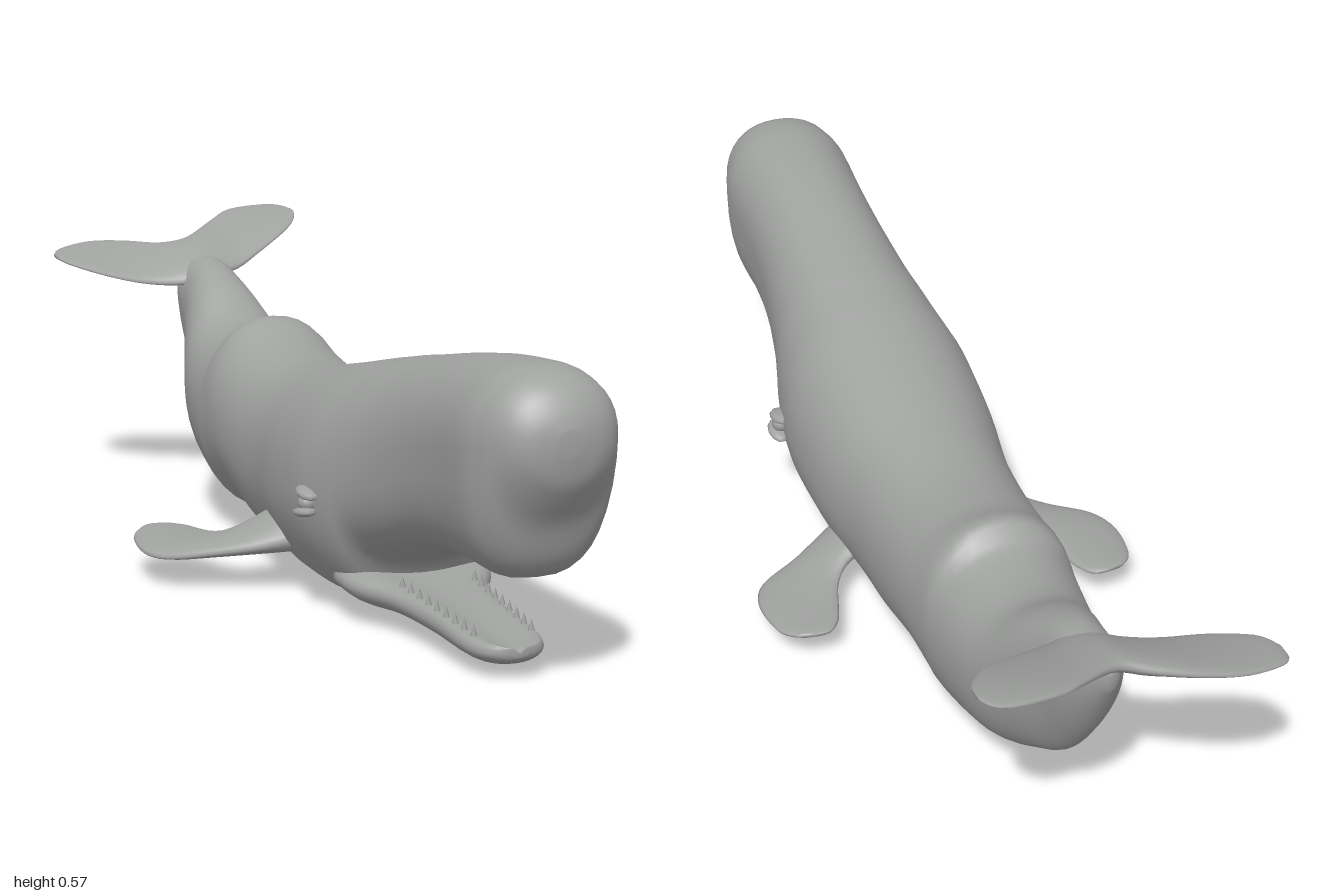
import * as THREE from 'three';

const CX = 0.02; // the body sits slightly to one side of the flipper span
const grey = new THREE.MeshStandardMaterial({ color: 0xa0a2a0 });
grey.name = 'whale grey';

// Smoothly resample a list of numeric sections (Catmull-Rom per column)
function resample(rows, steps) {
  const at = i => rows[Math.max(0, Math.min(rows.length - 1, i))];
  const out = [];
  for (let i = 0; i < rows.length - 1; i++) {
    for (let s = 0; s < steps; s++) {
      const t = s / steps;
      out.push(rows[i].map((p1, k) => {
        const p0 = at(i - 1)[k], p2 = at(i + 1)[k], p3 = at(i + 2)[k];
        return p1 + 0.5 * t * (p2 - p0 + t * (2 * p0 - 5 * p1 + 4 * p2 - p3 + t * (3 * (p1 - p2) + p3 - p0)));
      }));
    }
  }
  out.push(rows[rows.length - 1]);
  return out;
}

// Skin closed rings of points, with a centre point closing each end
function loft(name, rings) {
  const n = rings[0].length, pos = [], idx = [];
  rings.forEach(r => r.forEach(p => pos.push(...p)));
  for (let i = 0; i < rings.length - 1; i++) {
    for (let j = 0; j < n; j++) {
      const a = i * n + j, b = i * n + (j + 1) % n;
      idx.push(a, a + n, b, b, a + n, b + n);
    }
  }
  [0, rings.length - 1].forEach((r, end) => {
    const c = pos.length / 3, ring = rings[r];
    for (let k = 0; k < 3; k++) pos.push(ring.reduce((s, p) => s + p[k], 0) / n);
    for (let j = 0; j < n; j++) {
      const a = r * n + j, b = r * n + (j + 1) % n;
      if (end) idx.push(c, b, a); else idx.push(c, a, b);
    }
  });
  const g = new THREE.BufferGeometry();
  g.setAttribute('position', new THREE.Float32BufferAttribute(pos, 3));
  g.setIndex(idx);
  g.computeVertexNormals();
  const m = new THREE.Mesh(g, grey);
  m.name = name;
  return m;
}

// Upright rings from rows of [z, bottom, widest height, top, half width, squareness of lower half]
function trunk(name, rows, dish = 0) {
  const N = 36;
  return loft(name, resample(rows, 4).map(([z, yb, yw, yt, hw, e]) =>
    Array.from({ length: N }, (_, j) => {
      const a = j / N * Math.PI * 2, c = Math.cos(a), s = Math.sin(a);
      const p = 2 / (s < 0 ? e : 2.2);
      const x = Math.sign(c) * Math.abs(c) ** p * hw;
      const y = yw + Math.sign(s) * Math.abs(s) ** p * (s < 0 ? yw - yb : yt - yw);
      return [CX + x, y - dish * Math.max(0, s) ** 4, z];
    })));
}

// Thin fins from rows of [xLead, yLead, zLead, xTrail, yTrail, zTrail, thickness]
function fin(name, rows, side = 1) {
  const N = 20;
  return loft(name, resample(rows, 4).map(r =>
    Array.from({ length: N }, (_, j) => {
      const a = j / N * Math.PI * 2, c = Math.cos(a) / 2, s = Math.sin(a) / 2;
      const at = k => (r[k] + r[k + 3]) / 2 + (r[k] - r[k + 3]) * c;
      return [side * at(0), at(1) + side * s * r[6], at(2)];
    })));
}

export function createModel() {
  const whale = new THREE.Group();
  whale.name = 'whale';

  // Blunt head, mouth step, trunk with low hump, and rising tail stock
  whale.add(trunk('body', [
    [1.0, 0.415, 0.435, 0.455, 0.02, 2],
    [0.99, 0.37, 0.43, 0.485, 0.06, 2],
    [0.97, 0.335, 0.43, 0.515, 0.09, 2],
    [0.94, 0.29, 0.43, 0.535, 0.11, 2.3],
    [0.91, 0.22, 0.42, 0.543, 0.121, 2.5],
    [0.86, 0.19, 0.41, 0.546, 0.13, 2.7],
    [0.74, 0.193, 0.39, 0.536, 0.127, 2.8],
    [0.62, 0.183, 0.36, 0.518, 0.132, 2.8],
    [0.5, 0.145, 0.31, 0.496, 0.148, 2.6],
    [0.42, 0.11, 0.27, 0.482, 0.166, 2.3],
    [0.37, 0.03, 0.24, 0.472, 0.178, 2.1],
    [0.27, 0.01, 0.225, 0.452, 0.191, 2],
    [0.12, 0.005, 0.21, 0.42, 0.183, 2],
    [-0.02, 0.01, 0.205, 0.394, 0.162, 2],
    [-0.15, 0.025, 0.21, 0.383, 0.156, 2],
    [-0.28, 0.058, 0.23, 0.4, 0.152, 2],
    [-0.37, 0.045, 0.235, 0.434, 0.146, 2],
    [-0.42, 0.047, 0.235, 0.4, 0.143, 2],
    [-0.55, 0.08, 0.26, 0.4, 0.124, 2],
    [-0.65, 0.14, 0.32, 0.458, 0.093, 2],
    [-0.73, 0.205, 0.38, 0.493, 0.068, 2],
    [-0.8, 0.3, 0.43, 0.502, 0.058, 2],
    [-0.85, 0.385, 0.46, 0.508, 0.04, 2],
    [-0.895, 0.47, 0.495, 0.515, 0.012, 2],
  ]));

  // Narrow open lower jaw with a dished upper face
  whale.add(trunk('lowerJaw', [
    [0.82, 0.045, 0.055, 0.07, 0.015, 2],
    [0.805, 0.032, 0.052, 0.078, 0.046, 2],
    [0.75, 0.022, 0.052, 0.082, 0.068, 2],
    [0.6, 0.024, 0.06, 0.095, 0.074, 2],
    [0.48, 0.028, 0.068, 0.104, 0.095, 2],
    [0.4, 0.028, 0.075, 0.115, 0.135, 2],
    [0.33, 0.04, 0.08, 0.125, 0.14, 2],
  ], 0.022));

  for (const side of [1, -1]) {
    const label = side > 0 ? 'left' : 'right';

    // Small teeth along the jaw rim
    for (let i = 0; i < 9; i++) {
      const t = i / 8;
      const tooth = new THREE.Mesh(new THREE.ConeGeometry(0.006, 0.02, 6), grey);
      tooth.name = label + 'Tooth';
      tooth.position.set(CX + side * (0.052 + 0.016 * t), 0.079 + 0.02 * t, 0.75 - 0.27 * t);
      whale.add(tooth);
    }

    // Eye with upper and lower lid folds
    const eye = new THREE.Group();
    eye.name = label + 'Eye';
    const ball = new THREE.Mesh(new THREE.SphereGeometry(0.017, 12, 8), grey);
    ball.name = 'eyeball';
    eye.add(ball);
    for (const v of [1, -1]) {
      const lid = new THREE.Mesh(new THREE.SphereGeometry(1, 10, 6), grey);
      lid.name = v > 0 ? 'upperLid' : 'lowerLid';
      lid.scale.set(0.02, 0.009, 0.034);
      lid.position.set(side * (v > 0 ? 0 : 0.005), v * 0.017, 0);
      lid.rotation.x = v * 0.15;
      eye.add(lid);
    }
    eye.position.set(CX + side * 0.188, 0.217, 0.33);
    whale.add(eye);

    // Paddle flippers sweeping outward and back
    whale.add(fin(label + 'Flipper', [
      [0.11, 0.11, 0.16, 0.11, 0.13, 0.02, 0.085],
      [0.185, 0.09, 0.127, 0.17, 0.105, 0.01, 0.05],
      [0.26, 0.075, 0.082, 0.205, 0.085, -0.025, 0.034],
      [0.335, 0.065, 0.042, 0.225, 0.08, -0.085, 0.028],
      [0.362, 0.065, -0.02, 0.238, 0.08, -0.125, 0.025],
      [0.352, 0.072, -0.11, 0.26, 0.08, -0.153, 0.02],
      [0.325, 0.08, -0.148, 0.29, 0.082, -0.158, 0.008],
    ], side));
  }

  // Twisted tail flukes with a centre notch
  whale.add(fin('tailFlukes', [
    [-0.267, 0.492, -0.905, -0.267, 0.496, -0.945, 0.006],
    [-0.245, 0.482, -0.86, -0.245, 0.505, -0.97, 0.014],
    [-0.18, 0.463, -0.81, -0.18, 0.515, -0.985, 0.02],
    [-0.11, 0.45, -0.78, -0.11, 0.515, -0.965, 0.028],
    [-0.04, 0.45, -0.755, -0.04, 0.51, -0.925, 0.042],
    [0.015, 0.465, -0.74, 0.015, 0.52, -0.907, 0.048],
    [0.085, 0.475, -0.765, 0.085, 0.55, -0.953, 0.034],
    [0.14, 0.498, -0.795, 0.14, 0.57, -0.99, 0.024],
    [0.22, 0.535, -0.85, 0.22, 0.576, -1.0, 0.018],
    [0.255, 0.553, -0.89, 0.255, 0.575, -0.987, 0.012],
    [0.27, 0.565, -0.925, 0.27, 0.571, -0.96, 0.006],
  ]));

  return whale;
}
